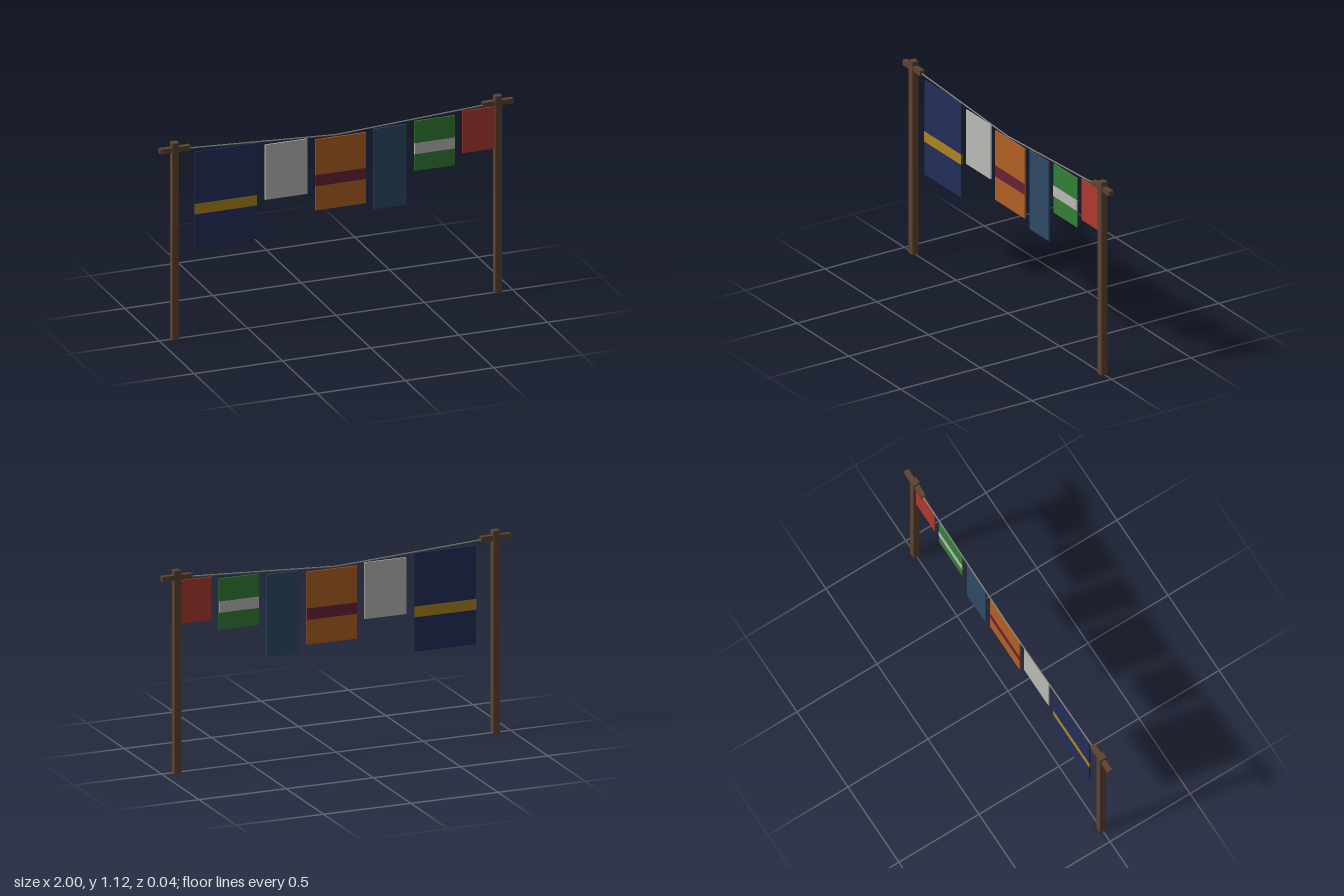
import * as THREE from 'three';

const mat = (name, color) => {
  const m = new THREE.MeshStandardMaterial({ color });
  m.name = name;
  return m;
};

export function createModel() {
  const wood = mat('wood', 0x5e432f);
  const cord = mat('cord', 0x85857f);
  const navy = mat('navy', 0x232e5a);
  const gold = mat('gold', 0xae8620);
  const pale = mat('pale grey', 0xbbbbb7);
  const orange = mat('orange', 0xb46124);
  const maroon = mat('maroon', 0x682338);
  const blue = mat('slate blue', 0x2f4a67);
  const green = mat('green', 0x338035);
  const red = mat('red', 0xb03a2e);

  const model = new THREE.Group();
  model.name = 'clothesLine';

  // Box given by its x and y limits, centred on z = 0
  const slab = (name, material, x0, x1, y0, y1, depth, parent = model) => {
    const mesh = new THREE.Mesh(new THREE.BoxGeometry(x1 - x0, y1 - y0, depth), material);
    mesh.position.set((x0 + x1) / 2, (y0 + y1) / 2, 0);
    mesh.name = name;
    parent.add(mesh);
    return mesh;
  };

  // Posts with short crossbars, and the two halves of the sagging line
  const sag = new THREE.Vector3(0, 1.024, 0);
  for (const [side, s] of [['left', 1], ['right', -1]]) {
    const x = s * 0.914;
    slab(side + 'Post', wood, x - 0.019, x + 0.019, 0, 1.115, 0.038);
    slab(side + 'Crossbar', wood, x - 0.086, x + 0.086, 1.061, 1.089, 0.028);

    const span = new THREE.Vector3(x, 1.074, 0).sub(sag);
    const line = new THREE.Mesh(new THREE.CylinderGeometry(0.004, 0.004, span.length(), 6), cord);
    line.position.copy(sag).addScaledVector(span, 0.5);
    line.quaternion.setFromUnitVectors(new THREE.Vector3(0, 1, 0), span.clone().normalize());
    line.name = side + 'Line';
    model.add(line);
  }

  // Hanging cloths: name, material, x0, x1, y0, y1, stripe [material, y0, y1]
  const cloths = [
    ['navyCloth', navy, -0.802, -0.449, 0.50, 1.043, [gold, 0.69, 0.749]],
    ['paleCloth', pale, -0.402, -0.163, 0.714, 1.026],
    ['orangeCloth', orange, -0.118, 0.168, 0.613, 1.014, [maroon, 0.75, 0.813]],
    ['blueCloth', blue, 0.214, 0.398, 0.571, 1.027],
    ['greenCloth', green, 0.444, 0.671, 0.755, 1.037, [pale, 0.85, 0.912]],
    ['redCloth', red, 0.716, 0.905, 0.816, 1.054],
  ];
  for (const [name, material, x0, x1, y0, y1, stripe] of cloths) {
    const cloth = new THREE.Group();
    cloth.name = name;
    slab(name + 'Sheet', material, x0, x1, y0, y1, 0.008, cloth);
    // Stripe wraps just proud of both faces
    if (stripe) slab(name + 'Stripe', stripe[0], x0, x1, stripe[1], stripe[2], 0.0099, cloth);
    model.add(cloth);
  }
  return model;
}
